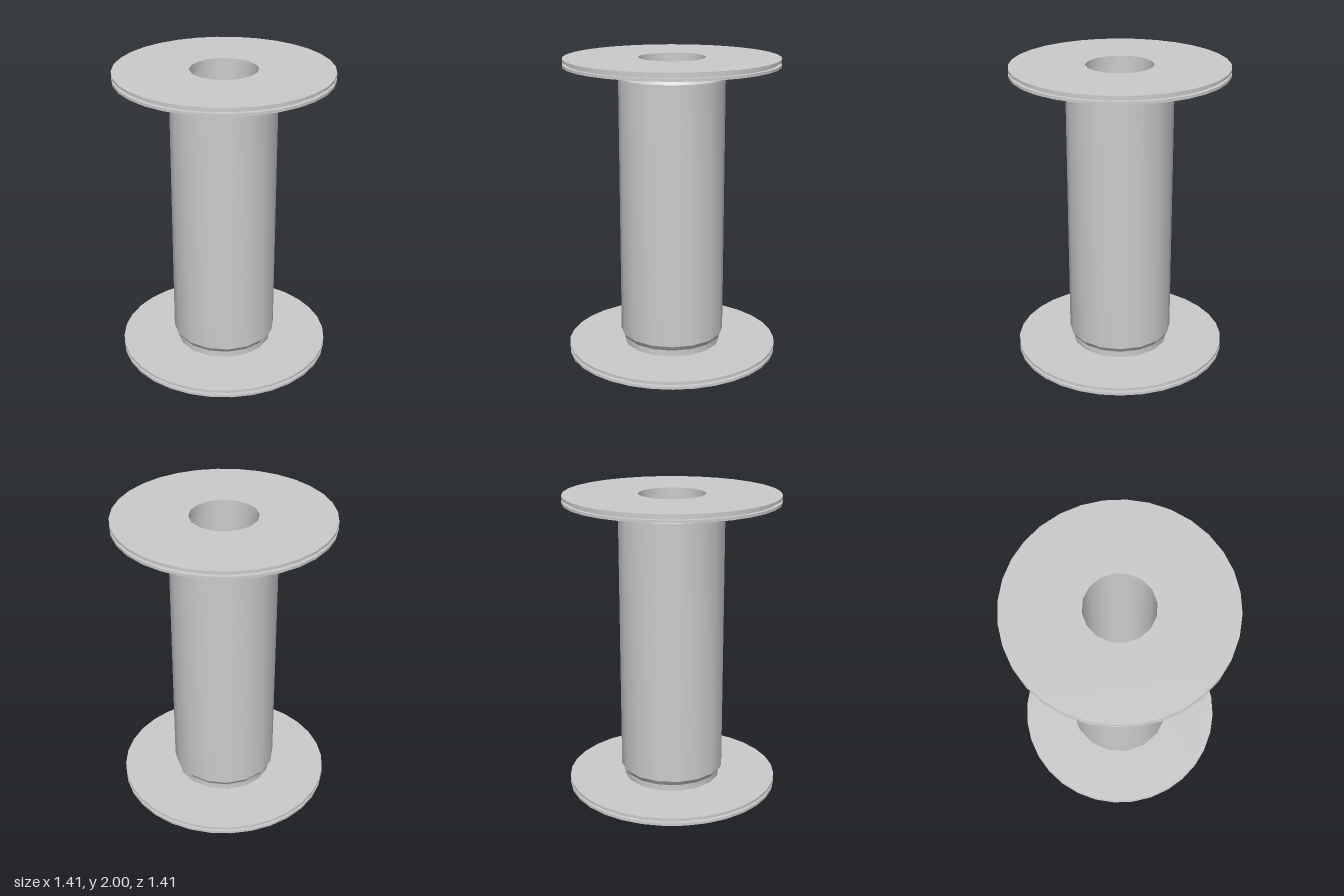
import * as THREE from 'three';
import { toCreasedNormals } from 'three/addons/utils/BufferGeometryUtils.js';

const BORE = 0.22, RIM = 0.707, GROOVE = 0.68;
const HEIGHT = 2, FLANGE = 0.053;

const material = new THREE.MeshStandardMaterial({ color: 0xcccccc });

// Corner points of a regular polygon
function polygon(radius, sides) {
  return Array.from({ length: sides }, (_, i) => {
    const a = (i / sides) * Math.PI * 2;
    return new THREE.Vector2(Math.cos(a) * radius, Math.sin(a) * radius);
  });
}

// Flat 32-sided disc with a 16-sided bore, its underside at y
function disc(name, radius, y, thickness) {
  const shape = new THREE.Shape(polygon(radius, 32));
  shape.holes.push(new THREE.Path(polygon(BORE, 16)));
  const geometry = new THREE.ExtrudeGeometry(shape, { depth: thickness, bevelEnabled: false });
  geometry.rotateX(-Math.PI / 2).translate(0, y, 0);
  const mesh = new THREE.Mesh(toCreasedNormals(geometry, 0.5), material);
  mesh.name = name;
  return mesh;
}

// Turned surface with 16 sides
function turned(name, profile) {
  const points = profile.map(([r, y]) => new THREE.Vector2(r, y));
  const geometry = new THREE.LatheGeometry(points, 16);
  const mesh = new THREE.Mesh(toCreasedNormals(geometry, 0.5), material);
  mesh.name = name;
  return mesh;
}

// Flange: two plates with a narrow groove between them
function flange(name, y) {
  const group = new THREE.Group();
  group.name = name;
  group.add(
    disc('lowerPlate', RIM, y, 0.018),
    disc('grooveCore', GROOVE, y + 0.018, 0.017),
    disc('upperPlate', RIM, y + 0.035, FLANGE - 0.035)
  );
  return group;
}

export function createModel() {
  const model = new THREE.Group();
  model.name = 'spool';

  model.add(flange('bottomFlange', 0), flange('topFlange', HEIGHT - FLANGE));

  // Barrel with a chamfer and a narrower neck at each end
  const lower = [[0.325, FLANGE], [0.325, 0.095], [0.349, 0.13]];
  const upper = lower.map(([r, y]) => [r, HEIGHT - y]).reverse();
  model.add(turned('barrel', [...lower, ...upper]));

  // Inner wall of the through hole
  model.add(turned('bore', [[BORE, HEIGHT - FLANGE], [BORE, FLANGE]]));

  return model;
}
